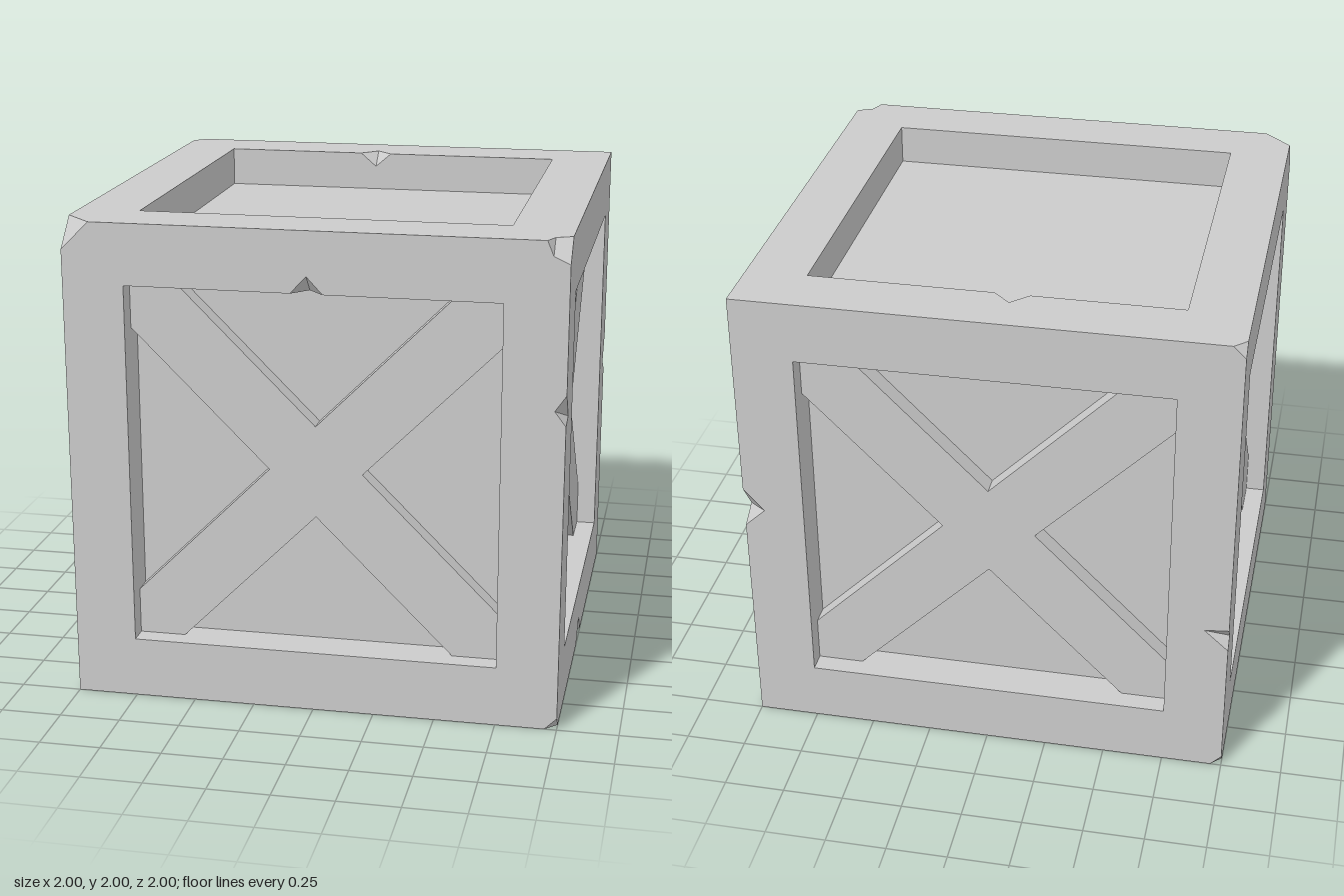
import * as THREE from 'three';

const V = (x, y, z) => new THREE.Vector3(x, y, z);
const OUT = 1, OPEN = 0.75, PANEL = 0.835, BRACE = 0.917, ARM = 0.19;

// Six sides: outward normal n with in-plane axes u, v (u x v = n)
const sides = [
  { name: 'front', n: V(0, 0, 1), u: V(1, 0, 0), v: V(0, 1, 0), braced: true },
  { name: 'right', n: V(1, 0, 0), u: V(0, 0, -1), v: V(0, 1, 0), braced: true },
  { name: 'back', n: V(0, 0, -1), u: V(-1, 0, 0), v: V(0, 1, 0), braced: true },
  { name: 'left', n: V(-1, 0, 0), u: V(0, 0, 1), v: V(0, 1, 0), braced: true },
  { name: 'top', n: V(0, 1, 0), u: V(1, 0, 0), v: V(0, 0, -1) },
  { name: 'bottom', n: V(0, -1, 0), u: V(1, 0, 0), v: V(0, 0, 1) },
];
const place = (s, a, b, w) =>
  V(0, 1, 0).addScaledVector(s.u, a).addScaledVector(s.v, b).addScaledVector(s.n, w);

// Edge chips: a and b lie on the edge, p and q on its two neighbouring faces
const chip = (a, b, p, q) => ({ a: V(...a), b: V(...b), tips: [V(...p), V(...q)] });
const frameChips = [
  chip([1, 1.4, 1], [1, 1.275, 1], [0.955, 1.335, 1], [1, 1.295, 0.915]),
  chip([1, 1.13, -1], [1, 0.955, -1], [0.915, 1.035, -1], [1, 1.01, -0.915]),
  chip([1, 0, 0.135], [1, 0, -0.05], [1, 0.09, 0.03], [0.92, 0, 0.03]),
  chip([-1, 0.7, -1], [-1, 0.6, -1], [-0.9, 0.69, -1], [-1, 0.65, -0.96]),
  chip([-0.08, 1.75, 1], [0.05, 1.75, 1], [-0.015, 1.82, 1], [-0.015, 1.75, 0.93]),
  chip([-0.14, 2, -0.75], [0, 2, -0.75], [-0.07, 2, -0.82], [-0.07, 1.94, -0.75]),
];
const braceChips = [
  chip([BRACE, 0.55, 0.26], [BRACE, 0.61, 0.2], [BRACE, 0.635, 0.225], [0.87, 0.59, 0.22]),
];

// Broken corners: cut points along the x, y and z edges, plus optional inner points
const corner = (x, y, z, s, inner = []) => ({
  at: V(x, y, z),
  cuts: [V(x - Math.sign(x) * s, y, z), V(x, y > 1 ? y - s : y + s, z), V(x, y, z - Math.sign(z) * s)],
  inner,
});
const corners = [
  corner(-1, 2, 1, 0.115),
  corner(1, 2, 1, 0.09, [V(0.935, 1.94, 1), V(0.935, 2, 0.94)]),
  corner(1, 0, 1, 0.05),
  corner(-1, 2, -1, 0.05),
  corner(-1, 0, -1, 0.045),
];

// True when point p lies on the segment a-b
const onEdge = (p, a, b) =>
  new THREE.Line3(a, b).closestPointToPoint(p, true, V(0, 0, 0)).distanceTo(p) < 1e-5;

// Cut the chips and corners out of a flat outline
function wornLoop(pts, n, chips) {
  const inPlane = (p) => Math.abs(p.clone().sub(pts[0]).dot(n)) < 1e-5;
  const loop = [];
  pts.forEach((cur, i) => {
    const prev = pts[(i + pts.length - 1) % pts.length], next = pts[(i + 1) % pts.length];
    const broken = corners.find((c) => c.at.distanceTo(cur) < 1e-5);
    if (broken) {
      loop.push(broken.cuts.find((p) => onEdge(p, prev, cur)));
      loop.push(...broken.inner.filter(inPlane));
      loop.push(broken.cuts.find((p) => onEdge(p, cur, next)));
    } else loop.push(cur);
    chips.filter((c) => onEdge(c.a, cur, next) && onEdge(c.b, cur, next))
      .sort((c, d) => c.a.distanceTo(cur) - d.a.distanceTo(cur))
      .forEach((c) => {
        const ends = [c.a, c.b].sort((p, q) => p.distanceTo(cur) - q.distanceTo(cur));
        loop.push(ends[0], c.tips.find(inPlane), ends[1]);
      });
  });
  return loop;
}

// Add one triangle, turned to face along the given direction
function addTriangle(out, a, b, c, dir) {
  const n = b.clone().sub(a).cross(c.clone().sub(a));
  for (const p of n.dot(dir) < 0 ? [a, c, b] : [a, b, c]) out.push(p.x, p.y, p.z);
}

// Add a flat polygon with holes, facing along n
function addPolygon(out, n, loop, holes = []) {
  const size = [Math.abs(n.x), Math.abs(n.y), Math.abs(n.z)];
  const k = size.indexOf(Math.max(...size));
  const flat = (p) => {
    const xyz = p.toArray();
    return new THREE.Vector2(xyz[(k + 1) % 3], xyz[(k + 2) % 3]);
  };
  const all = [loop, ...holes].flat();
  const tris = THREE.ShapeUtils.triangulateShape(loop.map(flat), holes.map((h) => h.map(flat)));
  tris.forEach(([a, b, c]) => addTriangle(out, all[a], all[b], all[c], n));
}

// The two broken facets inside each edge chip
function addChipFacets(out, chips) {
  for (const { a, b, tips: [p, q] } of chips) {
    const mid = a.clone().add(b).multiplyScalar(0.5);
    for (const end of [a, b]) addTriangle(out, end, p, q, mid.clone().sub(end));
  }
}

function makeMesh(name, positions) {
  const geometry = new THREE.BufferGeometry();
  geometry.setAttribute('position', new THREE.Float32BufferAttribute(positions, 3));
  geometry.computeVertexNormals();
  const mesh = new THREE.Mesh(geometry, new THREE.MeshStandardMaterial({ color: 0xcccccc, flatShading: true }));
  mesh.name = name;
  return mesh;
}

const square = (s, r, w) => [[-r, -r], [r, -r], [r, r], [-r, r]].map(([a, b]) => place(s, a, b, w));

// Outer frame: worn faces, opening walls and broken facets
function makeFrame() {
  const out = [];
  for (const s of sides) {
    const hole = square(s, OPEN, OUT), deep = square(s, OPEN, PANEL);
    addPolygon(out, s.n, wornLoop(square(s, OUT, OUT), s.n, frameChips), [wornLoop(hole, s.n, frameChips)]);
    hole.forEach((a, i) => {
      const j = (i + 1) % 4;
      const n = s.n.clone().cross(hole[j].clone().sub(a)).normalize();
      addPolygon(out, n, wornLoop([a, hole[j], deep[j], deep[i]], n, frameChips));
    });
  }
  addChipFacets(out, frameChips);
  for (const { at, cuts: [cx, cy, cz], inner: [f, t] } of corners) {
    const dir = V(at.x, at.y - 1, at.z);
    if (!f) addTriangle(out, cx, cy, cz, dir);
    else {
      addTriangle(out, cx, f, t, dir);
      addTriangle(out, f, cy, cz, dir);
      addTriangle(out, f, cz, t, dir);
    }
  }
  return makeMesh('frame', out);
}

// Cross brace lying on one recessed panel
function makeBrace(s) {
  const out = [], outline = [];
  const arm = [[ARM, 0], [OPEN, OPEN - ARM], [OPEN, OPEN], [OPEN - ARM, OPEN]];
  for (let k = 0; k < 4; k++) {
    for (const [x, y] of arm) outline.push([[x, y], [-y, x], [-x, -y], [y, -x]][k]);
  }
  const at = (w) => outline.map(([a, b]) => place(s, a, b, w));
  const chips = s.name === 'right' ? braceChips : [];
  const face = at(BRACE), base = at(PANEL);
  addPolygon(out, s.n, wornLoop(face, s.n, chips));
  face.forEach((a, i) => {
    const j = (i + 1) % face.length;
    const n = face[j].clone().sub(a).cross(s.n).normalize();
    addPolygon(out, n, wornLoop([a, face[j], base[j], base[i]], n, chips));
  });
  addChipFacets(out, chips);
  return makeMesh(s.name + 'CrossBrace', out);
}

export function createModel() {
  const group = new THREE.Group();
  group.name = 'crate';
  group.add(makeFrame());

  // Inner box whose faces are the six recessed panels
  const panels = new THREE.Mesh(
    new THREE.BoxGeometry(PANEL * 2, PANEL * 2, PANEL * 2),
    new THREE.MeshStandardMaterial({ color: 0xcccccc, flatShading: true }),
  );
  panels.name = 'panels';
  panels.position.y = 1;
  group.add(panels);

  sides.filter((s) => s.braced).forEach((s) => group.add(makeBrace(s)));
  return group;
}
